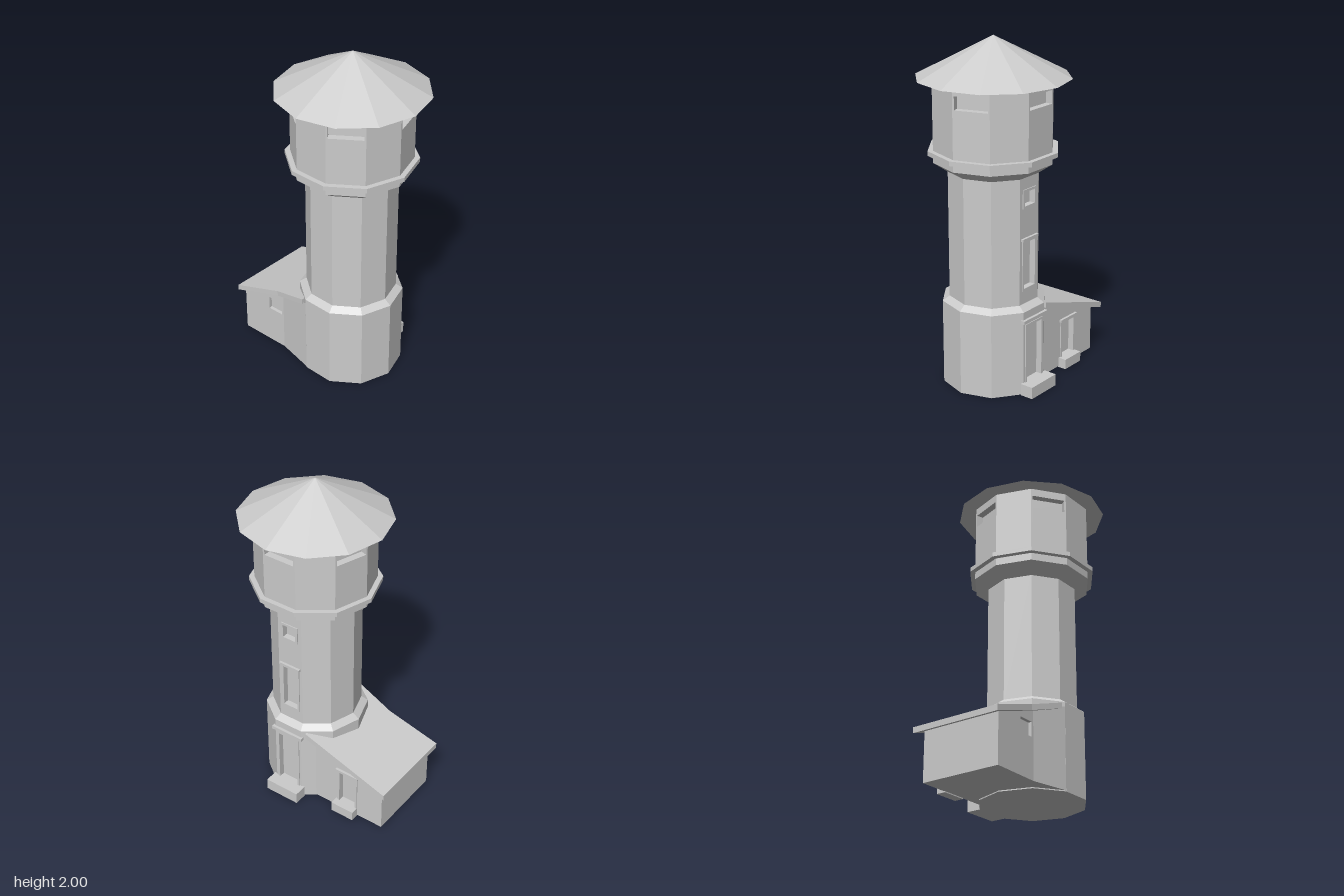
import * as THREE from 'three';

const CX = 0.12;            // tower axis
const SIDES = 10;
const mat = new THREE.MeshStandardMaterial({ color: 0xcccccc, flatShading: true });

function add(parent, name, geo, x = 0, y = 0, z = 0) {
  const m = new THREE.Mesh(geo, mat);
  m.name = name;
  m.position.set(x, y, z);
  parent.add(m);
  return m;
}

const rect = (Type, x0, y0, x1, y1) => new Type([
  new THREE.Vector2(x0, y0), new THREE.Vector2(x1, y0),
  new THREE.Vector2(x1, y1), new THREE.Vector2(x0, y1)]);

// Inward-facing box without its front side: the reveal and back of an opening
function recessGeometry(w, h, d) {
  const g = new THREE.BoxGeometry(w, h, d);
  const idx = Array.from(g.index.array).filter((_, i) => i < 24 || i >= 30);
  g.setIndex(idx);
  g.scale(-1, 1, 1);
  g.computeVertexNormals();
  return g;
}

// Flat wall from p0 to p1 ([x, z], left to right seen from outside) with openings
function wall(parent, name, p0, p1, yBottom, top0, top1, openings = []) {
  const dx = p1[0] - p0[0], dz = p1[1] - p0[1], len = Math.hypot(dx, dz);
  const g = new THREE.Group();
  g.name = name;
  g.position.set(p0[0], 0, p0[1]);
  g.rotation.y = Math.atan2(-dz, dx);
  parent.add(g);
  const shape = new THREE.Shape([
    new THREE.Vector2(0, yBottom), new THREE.Vector2(len, yBottom),
    new THREE.Vector2(len, top1), new THREE.Vector2(0, top0)]);
  for (const { x = len / 2, y0, y1, w, depth = 0.03, frame = 0, lintel = 0 } of openings) {
    const l = x - w / 2, r = x + w / 2, h = y1 - y0;
    shape.holes.push(rect(THREE.Path, l, y0, r, y1));
    add(g, 'openingRecess', recessGeometry(w, h, depth), x, (y0 + y1) / 2, -depth / 2);
    if (frame) {
      const f = rect(THREE.Shape, l - frame, y0 - frame, r + frame, y1 + frame);
      f.holes.push(rect(THREE.Path, l, y0, r, y1));
      add(g, 'openingFrame', new THREE.ExtrudeGeometry(f, { depth: 0.006, bevelEnabled: false }));
    }
    if (lintel) {
      add(g, 'lintel', new THREE.BoxGeometry(w + 2 * frame + 0.015, 0.015, lintel),
        x, y1 + frame + 0.005, lintel / 2);
    }
  }
  add(g, name + 'Surface', new THREE.ShapeGeometry(shape));
}

// Ten-sided drum made of walls; openingsFor(k) lists the openings of side k
function drum(parent, name, r, y0, y1, openingsFor) {
  const g = new THREE.Group();
  g.name = name;
  parent.add(g);
  const corner = k => {
    const a = k * 2 * Math.PI / SIDES;
    return [CX + r * Math.cos(a), r * Math.sin(a)];
  };
  for (let k = 0; k < SIDES; k++) {
    wall(g, name + 'Side', corner(k + 1), corner(k), y0, y1, y1, openingsFor(k));
  }
}

function ring(parent, name, rBottom, rTop, y0, y1, open = true) {
  const geo = new THREE.CylinderGeometry(rTop, rBottom, y1 - y0, SIDES, 1, open, Math.PI / 2);
  add(parent, name, geo, CX, (y0 + y1) / 2, 0);
}

// Horizontal plan ([x, z] corners) raised between two height rules
function slopedSlab(plan, bottom, top) {
  const shape = new THREE.Shape(plan.map(([x, z]) => new THREE.Vector2(x, -z)));
  const geo = new THREE.ExtrudeGeometry(shape, { depth: 1, bevelEnabled: false });
  geo.rotateX(-Math.PI / 2);
  const p = geo.attributes.position;
  for (let i = 0; i < p.count; i++) {
    p.setY(i, p.getY(i) > 0.5 ? top(p.getX(i)) : bottom(p.getX(i)));
  }
  geo.computeVertexNormals();
  return geo;
}

export function createModel() {
  const model = new THREE.Group();
  model.name = 'waterTower';
  const BACK = 7;

  // Tower: base with door, shaft with two windows, tank with slots on every other side
  drum(model, 'base', 0.3, 0, 0.5, k => k === BACK
    ? [{ y0: 0.07, y1: 0.41, w: 0.13, frame: 0.014 }] : []);
  drum(model, 'shaft', 0.26, 0.5, 1.27, k => k === BACK ? [
    { y0: 0.62, y1: 0.89, w: 0.095, frame: 0.014, lintel: 0.015 },
    { y0: 1.1, y1: 1.18, w: 0.085, frame: 0.014 }] : []);
  drum(model, 'tank', 0.34, 1.38, 1.776, k => k % 2
    ? [{ y0: 1.655, y1: 1.73, w: 0.19, depth: 0.04 }] : []);
  ring(model, 'baseShoulder', 0.3, 0.26, 0.5, 0.528);
  ring(model, 'tankFlare', 0.26, 0.34, 1.26, 1.315);
  ring(model, 'tankCollar', 0.34, 0.34, 1.315, 1.365);
  ring(model, 'tankLedge', 0.37, 0.37, 1.358, 1.384, false);
  const underside = new THREE.CircleGeometry(0.3, SIDES);
  underside.rotateX(Math.PI / 2);
  add(model, 'baseUnderside', underside, CX, 0, 0);
  add(model, 'towerRoof', new THREE.ConeGeometry(0.43, 0.225, 12), CX, 1.8875, 0);

  // Tower entrance: canopy and step
  add(model, 'doorCanopy', new THREE.BoxGeometry(0.21, 0.02, 0.05), CX, 0.445, -0.277);
  add(model, 'doorStep', new THREE.BoxGeometry(0.22, 0.07, 0.08), CX, 0.035, -0.321);

  // Lean-to annex with a mono-pitch roof
  const annex = new THREE.Group();
  annex.name = 'annex';
  model.add(annex);
  const eave = x => 0.455 + 0.327 * x;
  const plan = [[-0.51, 0.25], [-0.2, 0.24], [0.027, 0.285], [-0.04, -0.235], [-0.51, -0.235]];
  const annexWall = (name, a, b, openings) =>
    wall(annex, name, a, b, 0.008, eave(a[0]) + 0.01, eave(b[0]) + 0.01, openings);
  annexWall('annexFrontWall', plan[0], plan[1],
    [{ x: 0.245, y0: 0.24, y1: 0.322, w: 0.1, depth: 0.02 }]);
  annexWall('annexFrontReturn', plan[1], plan[2]);
  annexWall('annexBackWall', plan[3], plan[4],
    [{ x: 0.23, y0: 0.06, y1: 0.275, w: 0.11, frame: 0.014, lintel: 0.015 }]);
  annexWall('annexEndWall', plan[4], plan[0]);
  add(annex, 'annexFloor', slopedSlab(plan, () => 0.006, () => 0.012));
  add(annex, 'annexStep', new THREE.BoxGeometry(0.15, 0.06, 0.055), -0.265, 0.03, -0.257);
  const roofPlan = [[-0.55, 0.275], [-0.23, 0.255], [0, 0.285], [0.02, 0], [0, -0.278], [-0.55, -0.28]];
  add(annex, 'annexRoof', slopedSlab(roofPlan, eave, x => eave(x) + 0.033));

  return model;
}
